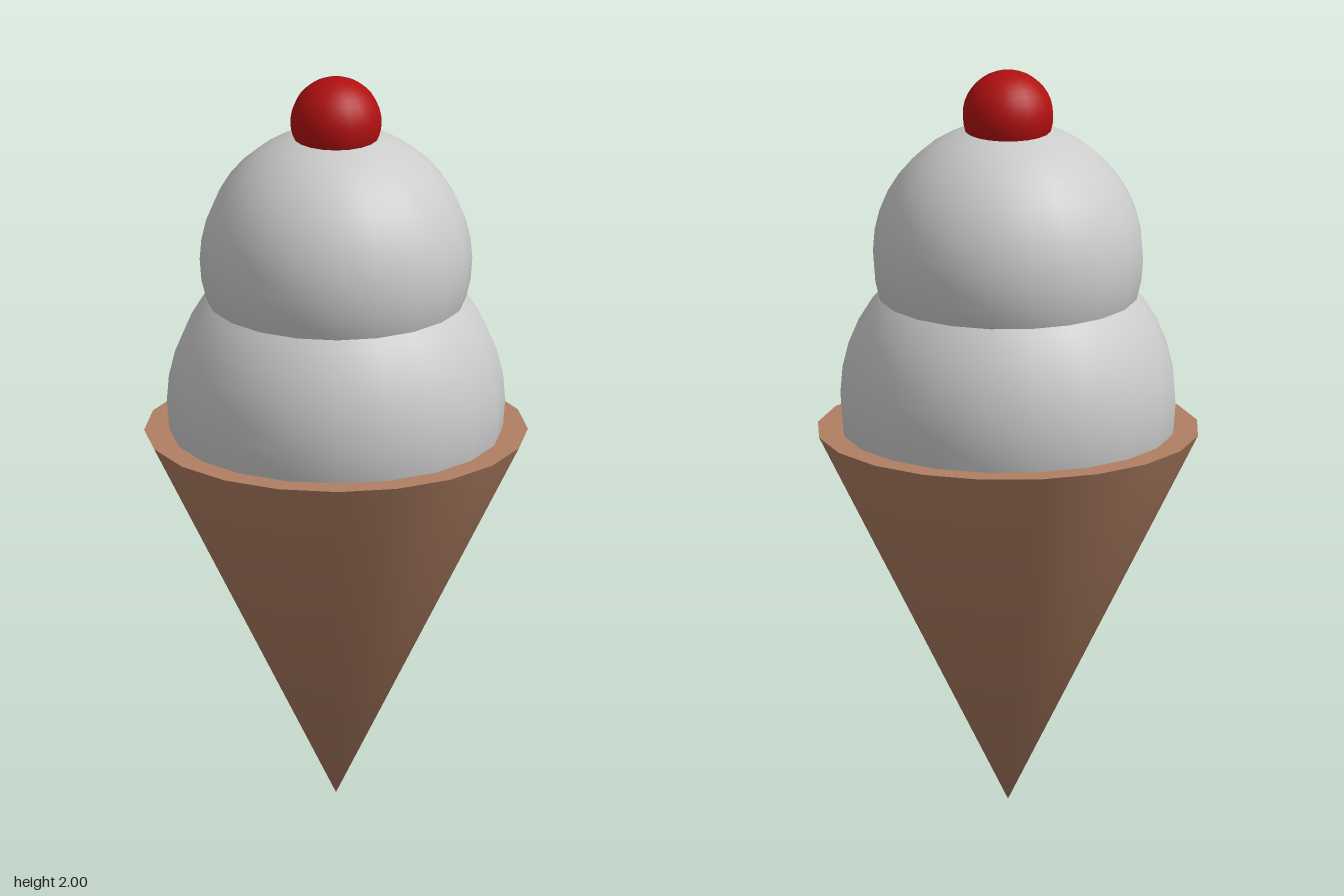
import * as THREE from 'three';

const SIDES = 20;

export function createModel() {
  const group = new THREE.Group();
  const brown = new THREE.MeshStandardMaterial({ color: 0xb07f63 });
  const grey = new THREE.MeshStandardMaterial({ color: 0xcccccc });
  const red = new THREE.MeshStandardMaterial({ color: 0xb01010 });

  const add = (name, geometry, material, y) => {
    const mesh = new THREE.Mesh(geometry, material);
    mesh.name = name;
    mesh.position.y = y;
    group.add(mesh);
  };

  // Closed wafer cone standing on its tip
  const height = 1.017;
  const cone = new THREE.ConeGeometry(0.508, height, SIDES).rotateX(Math.PI);
  // Shared tip normal gives the soft shading towards the point
  const { position, normal } = cone.attributes;
  for (let i = 0; i < position.count; i++) {
    if (position.getY(i) < 0) normal.setXYZ(i, 0, -1, 0);
  }
  add('cone', cone, brown, height / 2);

  // Two stacked scoops and the cherry: name, radius, centre height, material
  for (const [name, radius, y, material] of [
    ['lowerScoop', 0.448, 1.1, grey],
    ['upperScoop', 0.361, 1.495, grey],
    ['cherry', 0.121, 1.879, red],
  ]) {
    add(name, new THREE.SphereGeometry(radius, SIDES, SIDES), material, y);
  }

  return group;
}
